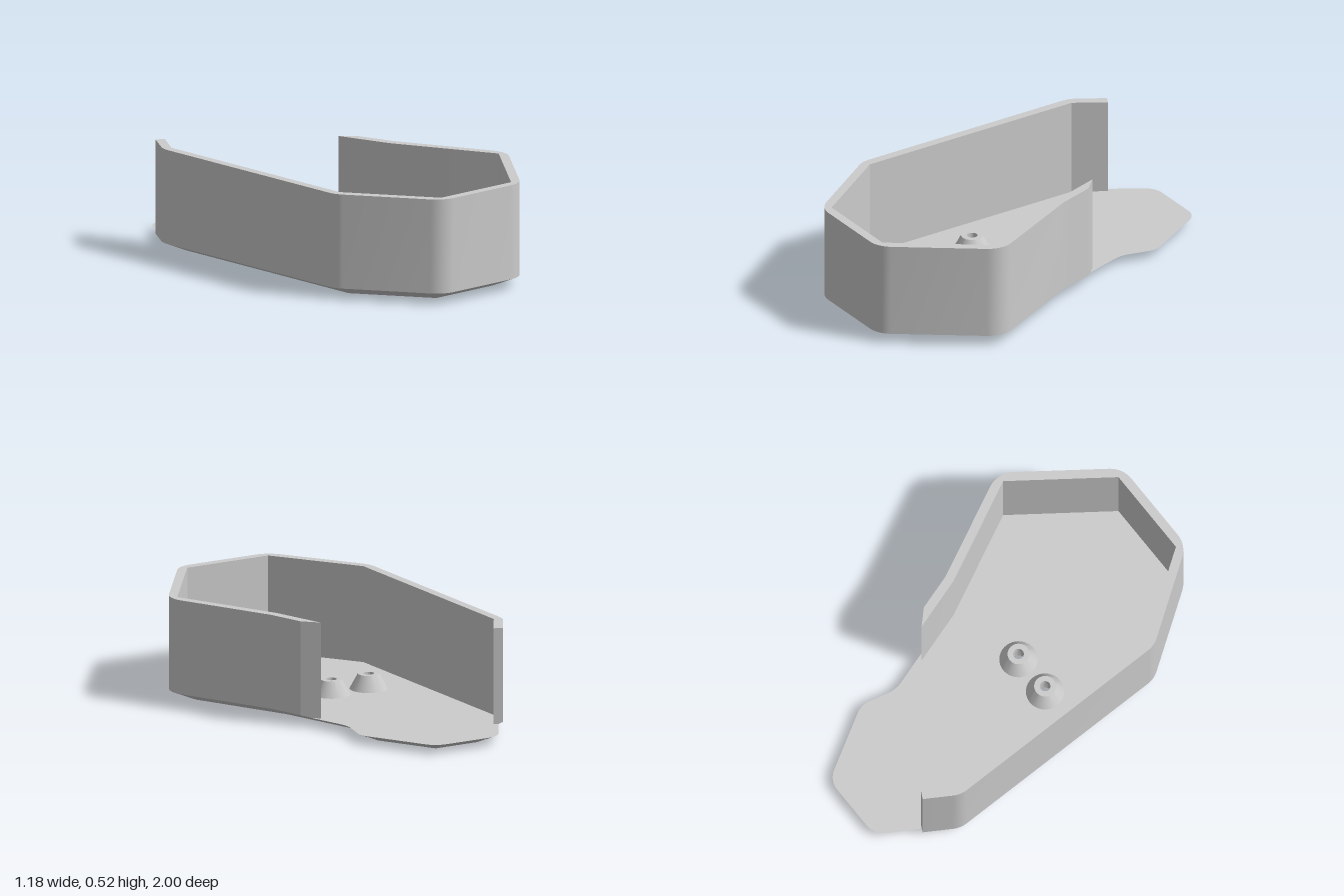
import * as THREE from 'three';
import { mergeGeometries, toCreasedNormals } from 'three/addons/utils/BufferGeometryUtils.js';

const material = new THREE.MeshStandardMaterial({ color: 0xcccccc });
const CREASE = 0.35;
const ARC = 8;              // segments per rounded corner
const THICK = 0.045;        // wall thickness
const FLOOR = 0.045, RIM = 0.525;
const HOLE = 0.037;
const BOSSES = [[-0.285, 0.105], [-0.075, 0.105]];

// Sharp corners (x, z) of the outer outline, starting at the left-hand back bend
const CORNERS = [
  [-0.593, -0.65], [-0.56, 0.56], [-0.245, 1], [0.255, 1], [0.61, 0.505],
  [0.34, -0.02], [0.19, -0.46], [0.232, -0.645], [0.005, -1.024], [-0.375, -1.024],
].map(([x, z]) => new THREE.Vector2(x, z));

// Outline moved inwards by d, with every corner rounded by the same number of points
function outline(d, radius) {
  const n = CORNERS.length;
  const dir = CORNERS.map((p, i) => CORNERS[(i + 1) % n].clone().sub(p).normalize());
  const points = [];
  CORNERS.forEach((p, i) => {
    const a = dir[(i + n - 1) % n], b = dir[i];
    const na = new THREE.Vector2(a.y, -a.x), nb = new THREE.Vector2(b.y, -b.x);
    const corner = na.clone().add(nb).multiplyScalar(d / (1 + na.dot(nb))).add(p);
    const turn = Math.acos(THREE.MathUtils.clamp(a.dot(b), -1, 1));
    const convex = a.x * b.y - a.y * b.x < 0;
    const r = radius === 0 ? 0 : Math.max(convex ? radius - d : radius + d, 0);
    const t = r * Math.tan(turn / 2);
    const start = corner.clone().addScaledVector(a, -t);
    const side = convex ? 1 : -1;
    const centre = start.clone().addScaledVector(na, r * side);
    for (let k = 0; k <= ARC; k++) {
      const spin = -side * turn * k / ARC;
      points.push(r === 0 ? corner.clone() : start.clone().rotateAround(centre, spin));
    }
  });
  return points;
}

const atHeight = (points, y) => points.map((p) => new THREE.Vector3(p.x, y, p.y));

// Skin between successive rings, skipping collapsed triangles
function loft(rings, closed, caps = false) {
  const pos = [];
  const tri = (a, b, c) => {
    const area = b.clone().sub(a).cross(c.clone().sub(a)).length();
    if (area > 1e-8) for (const v of [a, b, c]) pos.push(v.x, v.y, v.z);
  };
  for (let j = 0; j < rings.length - 1; j++) {
    const lo = rings[j], hi = rings[j + 1], n = lo.length;
    for (let i = 0; i < (closed ? n : n - 1); i++) {
      const k = (i + 1) % n;
      tri(lo[i], lo[k], hi[k]);
      tri(lo[i], hi[k], hi[i]);
    }
  }
  if (caps) {
    const last = rings[0].length - 1;
    for (let j = 1; j < rings.length - 2; j++) {
      tri(rings[0][0], rings[j][0], rings[j + 1][0]);
      tri(rings[0][last], rings[j + 1][last], rings[j][last]);
    }
  }
  const geo = new THREE.BufferGeometry();
  geo.setAttribute('position', new THREE.Float32BufferAttribute(pos, 3));
  return toCreasedNormals(geo, CREASE);
}

// Flat face with the screw holes, facing up or down
function flatFace(points, y, up) {
  const s = up ? -1 : 1;
  const clean = points.filter((p, i) => p.distanceTo(points[(i + 1) % points.length]) > 1e-5);
  const shape = new THREE.Shape(clean.map((p) => new THREE.Vector2(p.x, s * p.y)));
  for (const [x, z] of BOSSES) {
    shape.holes.push(new THREE.Path().absarc(x, s * z, HOLE, 0, Math.PI * 2, true));
  }
  const geo = new THREE.ShapeGeometry(shape, 20).rotateX(s * Math.PI / 2).translate(0, y, 0);
  geo.deleteAttribute('uv');
  return geo.toNonIndexed();
}

// Floor plate with a bevelled underside
function plateGeometry() {
  const bottom = outline(0.13, 0.13), top = outline(0.024, 0.13);
  return mergeGeometries([
    loft([atHeight(bottom, 0), atHeight(top, FLOOR)], true),
    flatFace(top, FLOOR, true),
    flatFace(bottom, 0, false),
  ]);
}

// Upright wall around the front: rounded outside, sharp inside, open at the back
function wallGeometry() {
  const startOut = new THREE.Vector2(-0.498, -0.81), startIn = new THREE.Vector2(-0.457, -0.789);
  const endOut = new THREE.Vector2(0.279, -0.2), endIn = new THREE.Vector2(0.207, -0.27);
  const ring = (d, y, r) => atHeight([
    startOut.clone().lerp(startIn, d / THICK),
    ...outline(d, r).slice(0, 6 * (ARC + 1)),
    endOut.clone().lerp(endIn, d / THICK),
  ], y);
  const profile = [
    [THICK, FLOOR, 0], [0.024, FLOOR, 0.13], [0, 0.055, 0.13],
    [0, RIM, 0.13], [THICK, RIM, 0], [THICK, FLOOR, 0],
  ];
  return loft(profile.map((p) => ring(...p)), false, true);
}

// Tapered screw boss with a stepped bore
function bossGeometry() {
  const profile = [
    [0.093, FLOOR], [0.053, 0.12], [0.026, 0.12], [0.026, 0.085], [HOLE, 0.085], [HOLE, 0],
  ].map(([r, y]) => new THREE.Vector2(r, y));
  return toCreasedNormals(new THREE.LatheGeometry(profile, 40), CREASE);
}

export function createModel() {
  const group = new THREE.Group();
  group.name = 'openTray';
  const add = (name, geometry) => {
    const mesh = new THREE.Mesh(geometry, material);
    mesh.name = name;
    group.add(mesh);
    return mesh;
  };
  add('floorPlate', plateGeometry());
  add('wall', wallGeometry());
  const boss = bossGeometry();
  BOSSES.forEach(([x, z], i) => add(`screwBoss${i + 1}`, boss).position.set(x, 0, z));
  return group;
}
